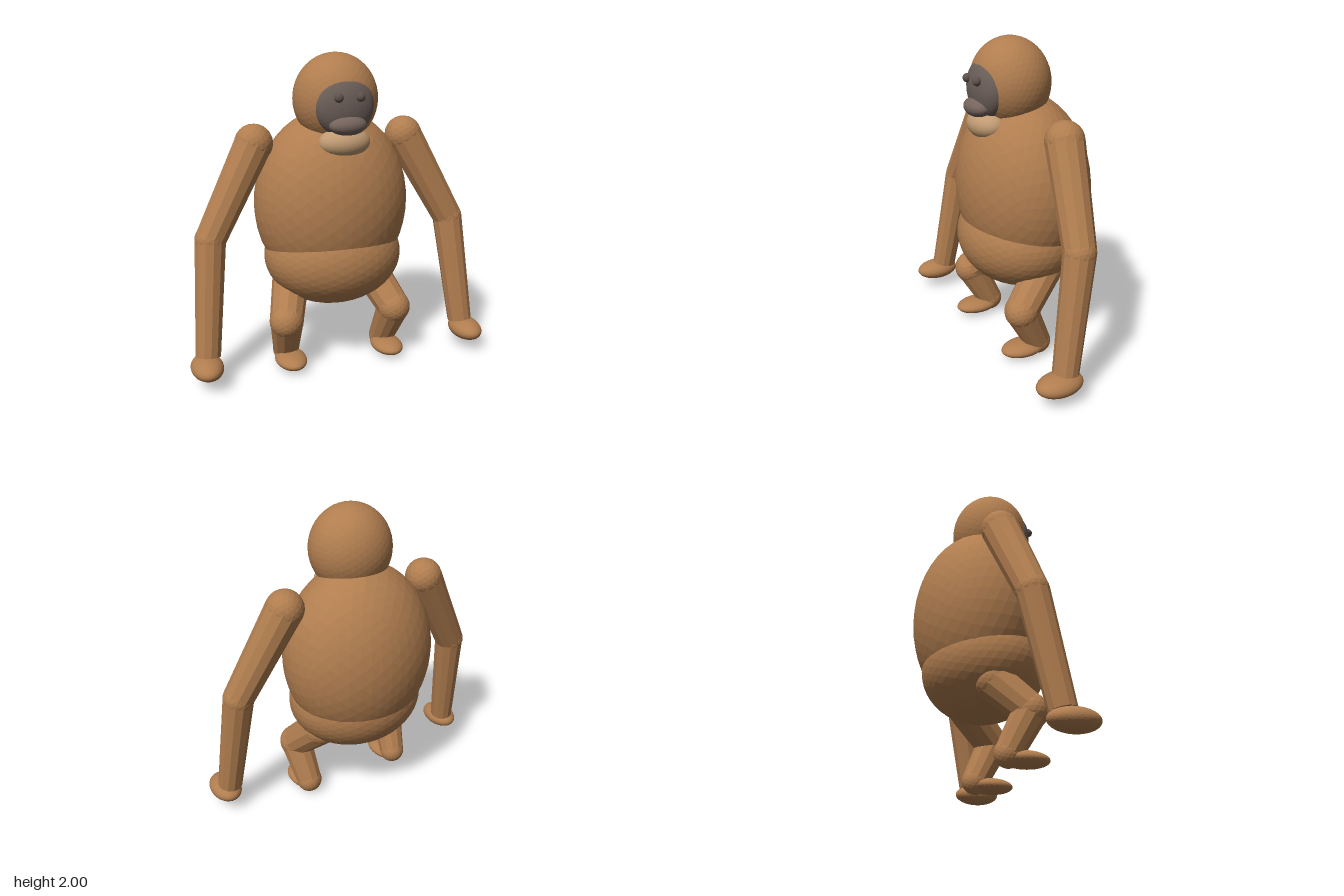
import * as THREE from 'three';

function material(name, color) {
  const m = new THREE.MeshStandardMaterial({ color, flatShading: true });
  m.name = name;
  return m;
}

export function createModel() {
  const fur = material('fur brown', 0xb07d4f);
  const skin = material('face grey', 0x6b5e58);
  const lips = material('muzzle grey brown', 0x75645c);
  const dark = material('eye brown', 0x5f5049);
  const tan = material('beard tan', 0xc09a72);

  const model = new THREE.Group();
  model.name = 'ape';

  // faceted ellipsoid
  function ellipsoid(parent, name, mat, pos, radii, detail = 7) {
    const mesh = new THREE.Mesh(new THREE.IcosahedronGeometry(1, detail), mat);
    mesh.name = name;
    mesh.position.set(...pos);
    mesh.scale.set(...radii);
    parent.add(mesh);
    return mesh;
  }

  // tapered limb segment from a to b
  function segment(parent, name, a, b, ra, rb) {
    const from = new THREE.Vector3(...a);
    const to = new THREE.Vector3(...b);
    const dir = to.clone().sub(from);
    const mesh = new THREE.Mesh(new THREE.CylinderGeometry(rb, ra, dir.length(), 12), fur);
    mesh.name = name;
    mesh.position.copy(from).add(to).multiplyScalar(0.5);
    mesh.quaternion.setFromUnitVectors(new THREE.Vector3(0, 1, 0), dir.normalize());
    parent.add(mesh);
  }

  const joint = (parent, name, p, r) => ellipsoid(parent, name, fur, p, [r, r, r], 3);

  // torso and head
  ellipsoid(model, 'chest', fur, [0, 1.05, 0], [0.5, 0.6, 0.415]);
  ellipsoid(model, 'hips', fur, [0, 0.71, 0.035], [0.45, 0.325, 0.385]);
  ellipsoid(model, 'head', fur, [0, 1.72, 0.085], [0.265, 0.28, 0.25]);

  // face
  ellipsoid(model, 'face', skin, [0, 1.695, 0.25], [0.185, 0.185, 0.1]);
  ellipsoid(model, 'muzzle', lips, [0, 1.587, 0.312], [0.117, 0.061, 0.075]);
  ellipsoid(model, 'beard', tan, [0, 1.475, 0.25], [0.162, 0.095, 0.115]);

  for (const s of [-1, 1]) {
    const side = s > 0 ? 'left' : 'right';
    ellipsoid(model, side + 'Eye', dark, [s * 0.068, 1.755, 0.343], [0.028, 0.028, 0.028], 3);

    // arm
    const arm = new THREE.Group();
    arm.name = side + 'Arm';
    const shoulder = [s * 0.5, 1.455, 0];
    const elbow = [s * 0.805, 0.89, 0.08];
    const wrist = [s * 0.87, 0.18, 0.2];
    joint(arm, 'shoulder', shoulder, 0.12);
    segment(arm, 'upperArm', shoulder, elbow, 0.12, 0.098);
    joint(arm, 'elbow', elbow, 0.098);
    segment(arm, 'forearm', elbow, wrist, 0.098, 0.08);
    ellipsoid(arm, 'hand', fur, [s * 0.888, 0.13, 0.25], [0.1, 0.068, 0.15], 5);
    model.add(arm);

    // leg
    const leg = new THREE.Group();
    leg.name = side + 'Leg';
    const hip = [s * 0.28, 0.54, 0.01];
    const knee = [s * 0.367, 0.345, 0.21];
    const ankle = [s * 0.34, 0.09, 0.08];
    joint(leg, 'hipJoint', hip, 0.12);
    segment(leg, 'thigh', hip, knee, 0.12, 0.107);
    joint(leg, 'knee', knee, 0.109);
    segment(leg, 'shin', knee, ankle, 0.107, 0.085);
    joint(leg, 'ankle', ankle, 0.085);
    ellipsoid(leg, 'foot', fur, [s * 0.335, 0.063, 0.18], [0.1, 0.05, 0.15], 5);
    model.add(leg);
  }
  return model;
}
